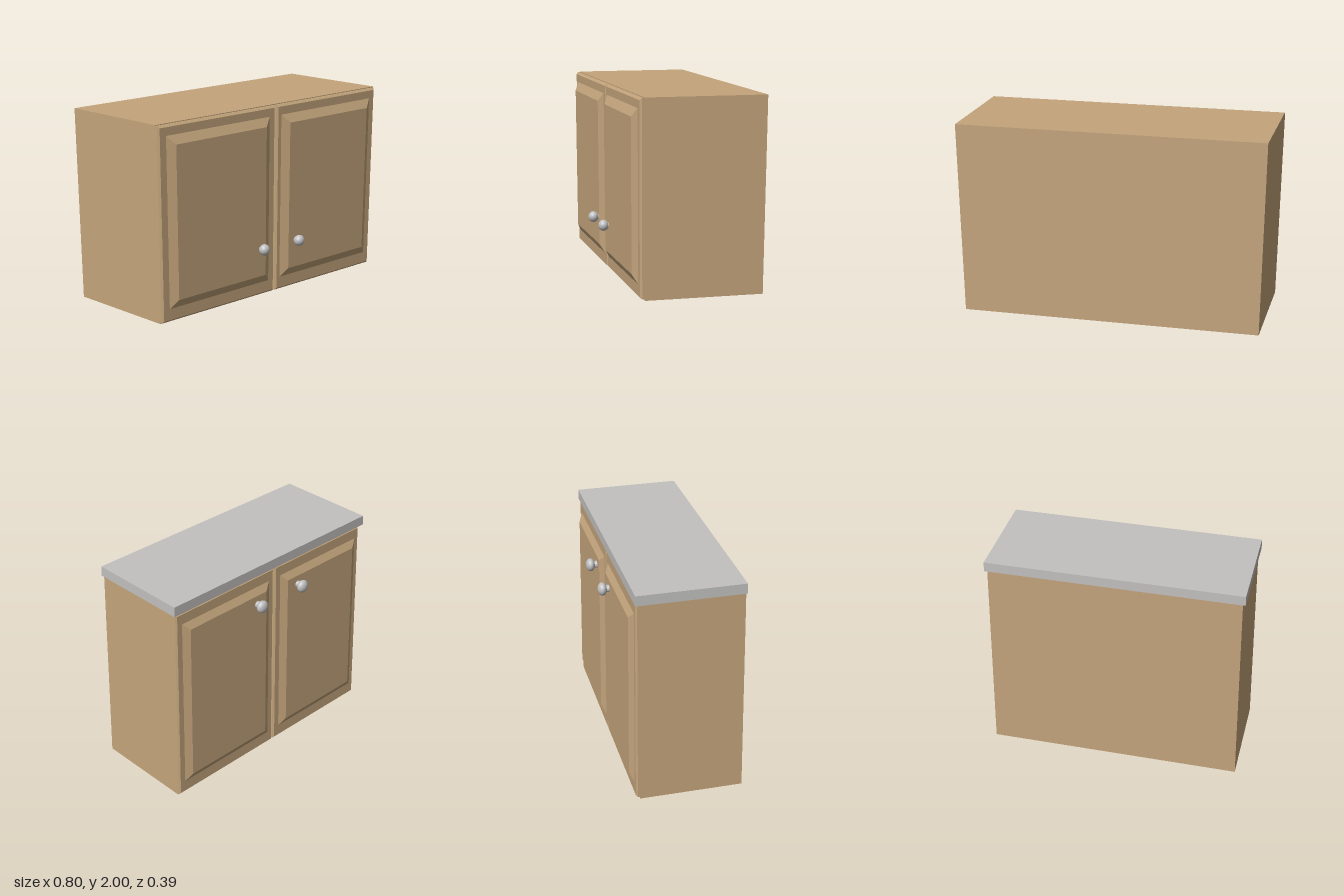
import * as THREE from 'three';

const wood = new THREE.MeshStandardMaterial({ color: 0xc4a57c });
wood.name = 'tan wood';
const stone = new THREE.MeshStandardMaterial({ color: 0xc2c1bf });
stone.name = 'grey stone';
const metal = new THREE.MeshStandardMaterial({ color: 0xc0c0c2 });
metal.name = 'knob metal';

// Box given by its minimum and maximum corners
function block(name, material, [x0, y0, z0], [x1, y1, z1]) {
  const mesh = new THREE.Mesh(new THREE.BoxGeometry(x1 - x0, y1 - y0, z1 - z0), material);
  mesh.position.set((x0 + x1) / 2, (y0 + y1) / 2, (z0 + z1) / 2);
  mesh.name = name;
  return mesh;
}

// Box whose front face is drawn in by `inset`, giving sloped edges
function raised(name, min, max, inset) {
  const mesh = block(name, wood, min, max);
  const p = mesh.geometry.attributes.position;
  for (let i = 0; i < p.count; i++) {
    if (p.getZ(i) > 0) {
      p.setX(i, p.getX(i) - Math.sign(p.getX(i)) * inset);
      p.setY(i, p.getY(i) - Math.sign(p.getY(i)) * inset);
    }
  }
  mesh.geometry.computeVertexNormals();
  return mesh;
}

// Door: slab, softened rim and raised centre panel
function door(name, x0, x1, y0, y1, zBack, zFront, panel) {
  const g = new THREE.Group();
  g.name = name;
  const rim = 0.005;
  g.add(block('doorSlab', wood, [x0, y0, zBack], [x1, y1, zFront - rim]));
  g.add(raised('doorRim', [x0, y0, zFront - rim], [x1, y1, zFront], rim));
  g.add(raised('raisedPanel', [panel.x0, panel.y0, zFront - 0.001], [panel.x1, panel.y1, zFront + 0.012], 0.024));
  return g;
}

// Rounded knob on a short stem
function knob(x, y, zPanel, zCentre, radius, depth) {
  const g = new THREE.Group();
  g.name = 'knob';
  const ball = new THREE.Mesh(new THREE.SphereGeometry(radius, 24, 16), metal);
  ball.name = 'knobHead';
  ball.scale.z = depth / radius;
  ball.position.set(x, y, zCentre);
  const length = zCentre - zPanel + 0.002;
  const stem = new THREE.Mesh(new THREE.CylinderGeometry(radius * 0.4, radius * 0.6, length, 16), metal);
  stem.name = 'knobStem';
  stem.rotation.x = Math.PI / 2;
  stem.position.set(x, y, zCentre - length / 2);
  g.add(ball, stem);
  return g;
}

export function createModel() {
  const model = new THREE.Group();
  model.name = 'kitchenCabinets';

  // Wall cabinet
  const upper = new THREE.Group();
  upper.name = 'wallCabinet';
  upper.add(block('upperBody', wood, [-0.402, 1.495, -0.195], [0.402, 2, 0.12]));
  upper.add(door('upperRightDoor', -0.402, 0.003, 1.497, 1.998, 0.12, 0.131,
    { x0: -0.379, x1: -0.018, y0: 1.53, y1: 1.974 }));
  upper.add(door('upperLeftDoor', 0.008, 0.396, 1.497, 1.998, 0.12, 0.131,
    { x0: 0.022, x1: 0.375, y0: 1.53, y1: 1.974 }));
  for (const x of [-0.06, 0.074]) upper.add(knob(x, 1.63, 0.142, 0.156, 0.015, 0.014));

  // Base cabinet with worktop
  const lower = new THREE.Group();
  lower.name = 'baseCabinet';
  lower.add(block('lowerBody', wood, [-0.394, 0, -0.175], [0.392, 0.632, 0.135]));
  lower.add(block('worktop', stone, [-0.402, 0.632, -0.176], [0.402, 0.663, 0.15]));
  lower.add(door('lowerRightDoor', -0.394, 0.001, 0.002, 0.63, 0.135, 0.146,
    { x0: -0.373, x1: -0.018, y0: 0.04, y1: 0.595 }));
  lower.add(door('lowerLeftDoor', 0.006, 0.387, 0.002, 0.63, 0.135, 0.146,
    { x0: 0.027, x1: 0.37, y0: 0.04, y1: 0.595 }));
  for (const x of [-0.079, 0.095]) lower.add(knob(x, 0.542, 0.157, 0.178, 0.02, 0.014));

  model.add(upper, lower);
  return model;
}
